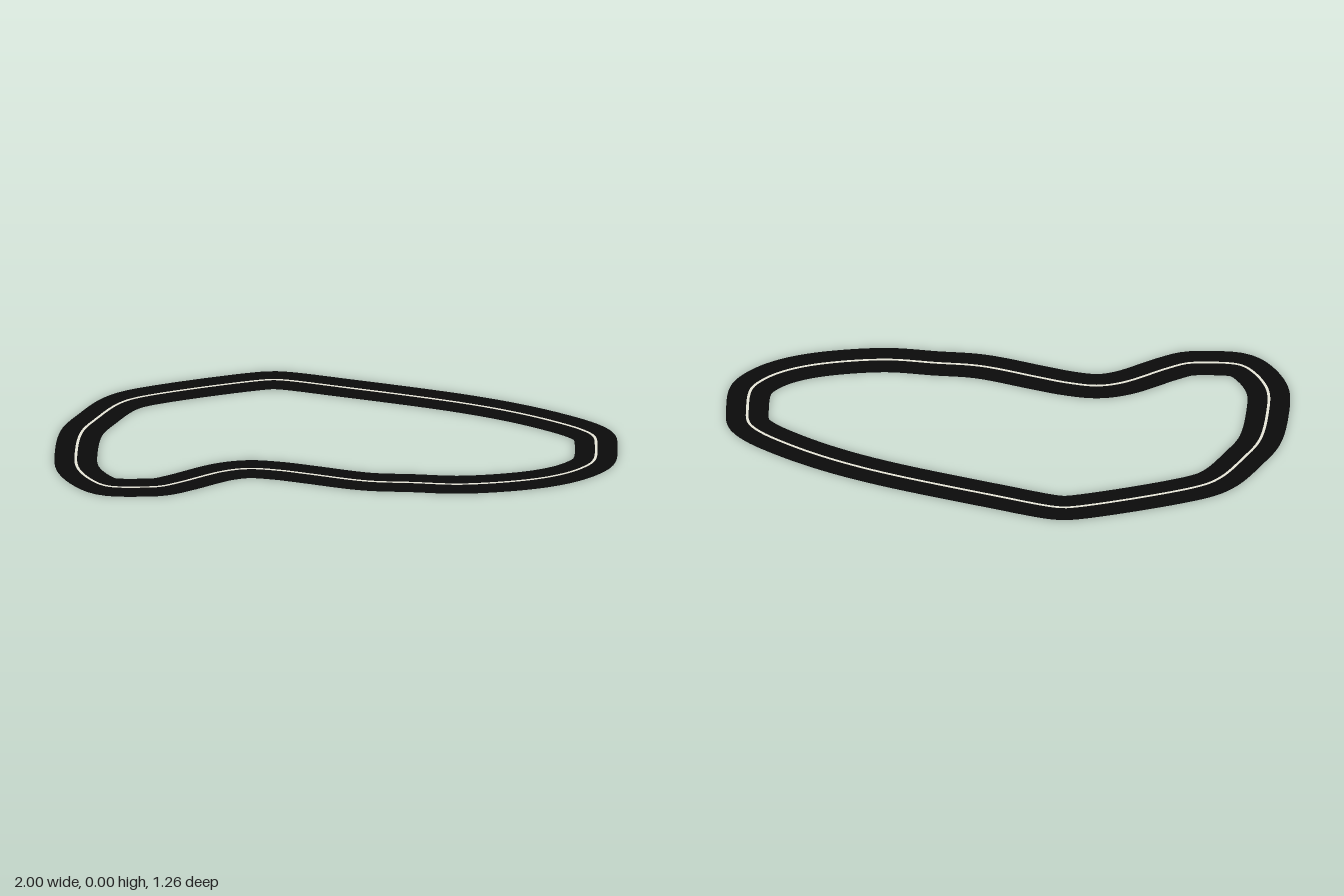
import * as THREE from 'three';

// Centre line of the circuit as [x, z], clockwise seen from above
const COURSE = [
  [-0.43, -0.535], [-0.38, -0.553], [-0.13, -0.556], [0.3, -0.545], [0.51, -0.52],
  [0.68, -0.48], [0.8, -0.436], [0.855, -0.395], [0.89, -0.31], [0.92, -0.18],
  [0.9, -0.11], [0.85, -0.035], [0.75, 0.05], [0.53, 0.16], [0.35, 0.2],
  [0.19, 0.234], [-0.03, 0.233], [-0.14, 0.233], [-0.25, 0.25], [-0.33, 0.3],
  [-0.45, 0.44], [-0.505, 0.495], [-0.56, 0.52], [-0.69, 0.55], [-0.76, 0.515],
  [-0.84, 0.425], [-0.89, 0.28], [-0.922, 0.1], [-0.906, -0.025], [-0.87, -0.175],
  [-0.82, -0.25],
];
const STEPS = 240;
const HALF_ROAD = 0.077;
const HALF_LINE = 0.005;

// Closed thin slab following the course between two sideways offsets
function slab(curve, inner, outer, height) {
  const positions = [];
  const indices = [];
  const corners = [[inner, 0], [inner, height], [outer, height], [outer, 0]];
  for (let i = 0; i <= STEPS; i++) {
    const t = (i % STEPS) / STEPS;
    const p = curve.getPointAt(t);
    const d = curve.getTangentAt(t);
    // Each side of the section has its own two corners, so edges stay sharp
    for (let s = 0; s < 4; s++) {
      for (const [o, y] of [corners[s], corners[(s + 1) % 4]]) {
        positions.push(p.x + d.z * o, y, p.z - d.x * o);
      }
    }
  }
  for (let i = 0; i < STEPS; i++) {
    for (let s = 0; s < 4; s++) {
      const a = i * 8 + s * 2;
      const b = a + 8;
      indices.push(a, b, a + 1, a + 1, b, b + 1);
    }
  }
  const geometry = new THREE.BufferGeometry();
  geometry.setAttribute('position', new THREE.Float32BufferAttribute(positions, 3));
  geometry.setIndex(indices);
  geometry.computeVertexNormals();
  return geometry;
}

export function createModel() {
  const group = new THREE.Group();
  group.name = 'raceTrack';
  const curve = new THREE.CatmullRomCurve3(
    COURSE.map(([x, z]) => new THREE.Vector3(x, 0, z)), true, 'centripetal');
  curve.arcLengthDivisions = 1000;

  const asphalt = new THREE.MeshStandardMaterial({ color: 0x0b0b0b, side: THREE.DoubleSide });
  const paint = new THREE.MeshStandardMaterial({ color: 0xe8e6d8, side: THREE.DoubleSide });
  const add = (name, inner, outer, height, material) => {
    const mesh = new THREE.Mesh(slab(curve, inner, outer, height), material);
    mesh.name = name;
    group.add(mesh);
  };

  // Two lanes with the painted line set between them
  add('outerLane', HALF_LINE, HALF_ROAD, 0.004, asphalt);
  add('innerLane', -HALF_ROAD, -HALF_LINE, 0.004, asphalt);
  add('centreLine', -HALF_LINE, HALF_LINE, 0.005, paint);
  return group;
}
